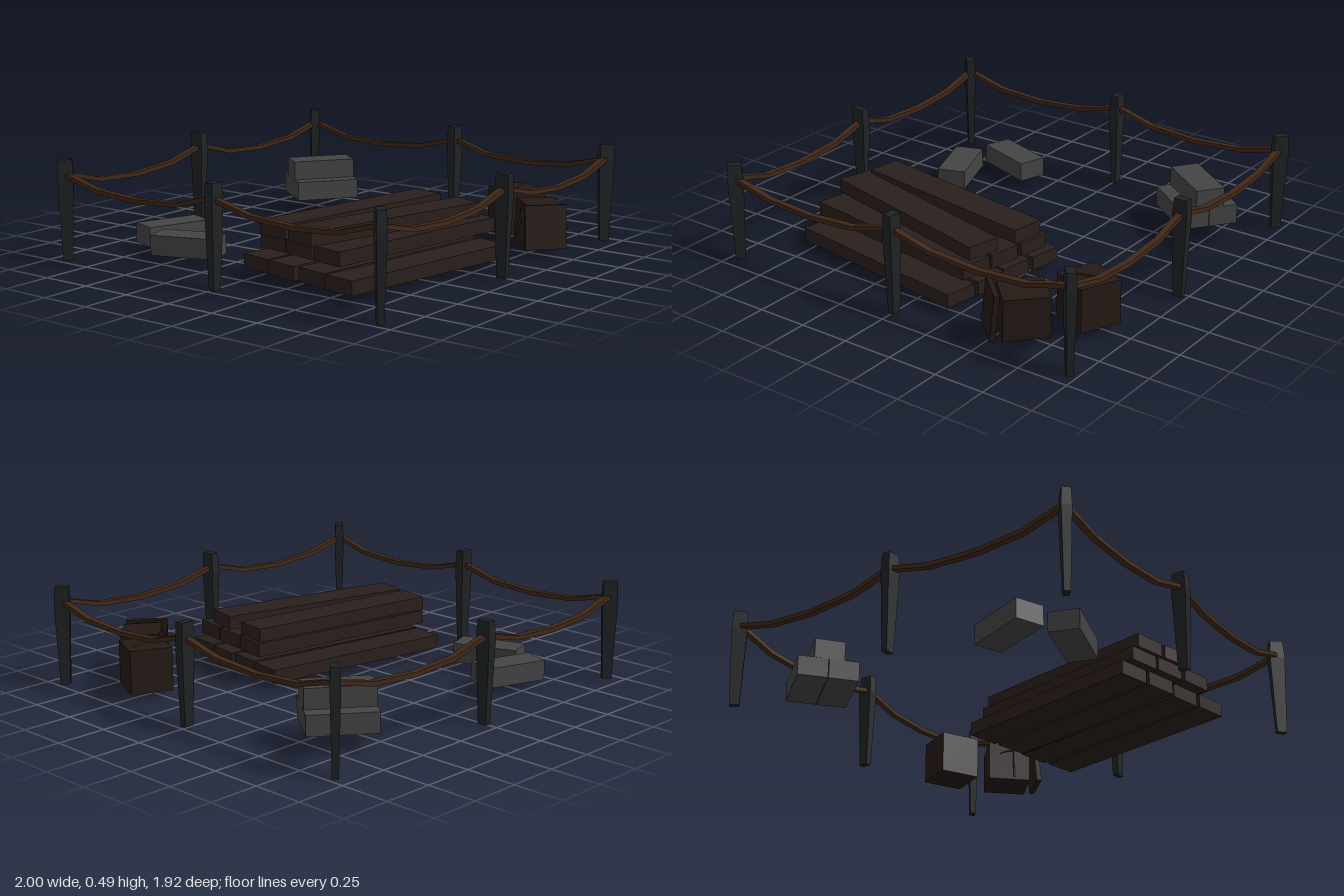
import * as THREE from 'three';

const mat = (color) => new THREE.MeshStandardMaterial({ color, flatShading: true });

export function createModel() {
  const root = new THREE.Group();
  const iron = mat(0x1f2224), wood = mat(0x2a1f1c), crateWood = mat(0x241915);
  const ropeMat = mat(0x402818), stone = mat(0x444444);

  const add = (name, geometry, material, pos, parent = root) => {
    const m = new THREE.Mesh(geometry, material);
    m.name = name;
    m.position.set(...pos);
    parent.add(m);
    return m;
  };
  // Box turned in plan by an angle in degrees measured from +x towards +z
  const block = (name, size, pos, deg, material) => {
    const m = add(name, new THREE.BoxGeometry(...size), material, pos);
    m.rotation.y = -THREE.MathUtils.degToRad(deg);
    return m;
  };

  // Fence posts: tapered four-sided stakes, broad side facing along the radius
  const X = 0.955, Z = 0.915;
  const stakes = [[-X, -Z], [0, -Z - 0.01], [X, -Z], [X, 0.02], [X, Z], [0, Z], [-X, Z], [-X, 0.01]];
  const r = Math.SQRT2;
  const profile = [[0, 0], [0.62, 0], [1, 0.4], [0.86, 0.49], [0, 0.49]]
    .map(([w, y]) => new THREE.Vector2(w * r, y));
  const stakeGeo = new THREE.LatheGeometry(profile, 4, Math.PI / 4);
  stakeGeo.scale(0.038, 1, 0.024);
  stakes.forEach(([x, z]) => {
    const post = add('fencePost', stakeGeo, iron, [x, 0, z]);
    const sx = Math.abs(x) > 0.5 ? Math.sign(x) : 0, sz = Math.abs(z) > 0.5 ? Math.sign(z) : 0;
    post.rotation.y = -Math.atan2(sz, sx);
  });

  // Sagging ropes: a bent strip between each neighbouring pair of posts
  const sag = [[0, 0.415], [0.06, 0.405], [0.23, 0.36], [0.5, 0.345], [0.77, 0.362], [0.94, 0.402], [1, 0.415]];
  stakes.forEach(([x0, z0], i) => {
    const [x1, z1] = stakes[(i + 1) % stakes.length];
    const len = Math.hypot(x1 - x0, z1 - z0);
    const lower = sag.map(([t, y]) => new THREE.Vector2(t * len, y - 0.011));
    const upper = sag.map(([t, y]) => new THREE.Vector2(t * len, y + 0.011)).reverse();
    const geo = new THREE.ExtrudeGeometry(new THREE.Shape([...lower, ...upper]), { depth: 0.032, bevelEnabled: false });
    geo.translate(0, 0, -0.016);
    const rope = add('rope', geo, ropeMat, [x0, 0, z0]);
    rope.rotation.y = -Math.atan2(z1 - z0, x1 - x0);
  });

  // Plank stack: [offset across the stack, shift along it, height, turn]
  const a = THREE.MathUtils.degToRad(9.1);
  const planks = [
    [-0.273, 0, 0.07, 9.1], [-0.09, -0.005, 0.07, 9.5], [0.09, 0.005, 0.07, 8.8], [0.273, 0, 0.07, 9.1],
    [-0.175, 0.02, 0.182, 9.1], [0.005, 0.015, 0.182, 9.6], [0.185, 0.01, 0.182, 9.1],
    [-0.155, 0, 0.248, 9.1], [0.075, -0.01, 0.248, 14],
  ];
  planks.forEach(([across, along, y, deg]) => block('plank', [1.015, 0.067, 0.165],
    [-0.226 + along * Math.cos(a) - across * Math.sin(a), y, 0.37 + along * Math.sin(a) + across * Math.cos(a)], deg, wood));

  // Stone blocks: two loose ones and a pile of three
  const brick = [0.325, 0.098, 0.145];
  block('looseStone', brick, [-0.48, 0.09, -0.675], 19, stone);
  block('looseStone', brick, [-0.648, 0.09, -0.422], 70, stone);
  const pile = [0.655, -0.64], t = THREE.MathUtils.degToRad(37);
  for (const s of [-1, 1]) {
    block('pileStone', brick, [pile[0] - s * 0.074 * Math.sin(t), 0.142, pile[1] + s * 0.074 * Math.cos(t)], 37, stone);
  }
  block('pileStone', brick, [pile[0], 0.239, pile[1]], 36, stone);

  // Crates, one slightly tipped, with its lid leaning against it
  block('crate', [0.205, 0.213, 0.205], [0.782, 0.142, 0.51], 24, crateWood);
  const tipped = block('tippedCrate', [0.19, 0.205, 0.215], [0.6, 0.132, 0.752], 44, crateWood);
  tipped.rotation.z = -0.05;
  const lid = block('crateLid', [0.205, 0.215, 0.026], [0.492, 0.14, 0.848], 43, crateWood);
  lid.rotation.order = 'YXZ';
  lid.rotation.x = -0.1;

  // Thin strap lying on the upright crate
  const strap = block('strap', [0.17, 0.008, 0.007], [0.785, 0.253, 0.515], -14, ropeMat);
  strap.rotation.z = 0.03;

  // Small pick leaning behind the tipped crate
  const pick = new THREE.Group();
  pick.name = 'pick';
  pick.position.set(0.495, 0.05, 0.68);
  pick.rotation.order = 'YXZ';
  pick.rotation.y = 0.66;
  pick.rotation.x = 0.2;
  root.add(pick);
  add('pickHandle', new THREE.CylinderGeometry(0.006, 0.006, 0.2, 6), ropeMat, [0, 0.09, 0], pick);
  const arc = new THREE.QuadraticBezierCurve3(
    new THREE.Vector3(-0.08, 0, 0), new THREE.Vector3(0, 0.05, 0), new THREE.Vector3(0.08, 0, 0));
  add('pickHead', new THREE.TubeGeometry(arc, 6, 0.007, 5), iron, [0, 0.13, 0], pick);

  return root;
}
